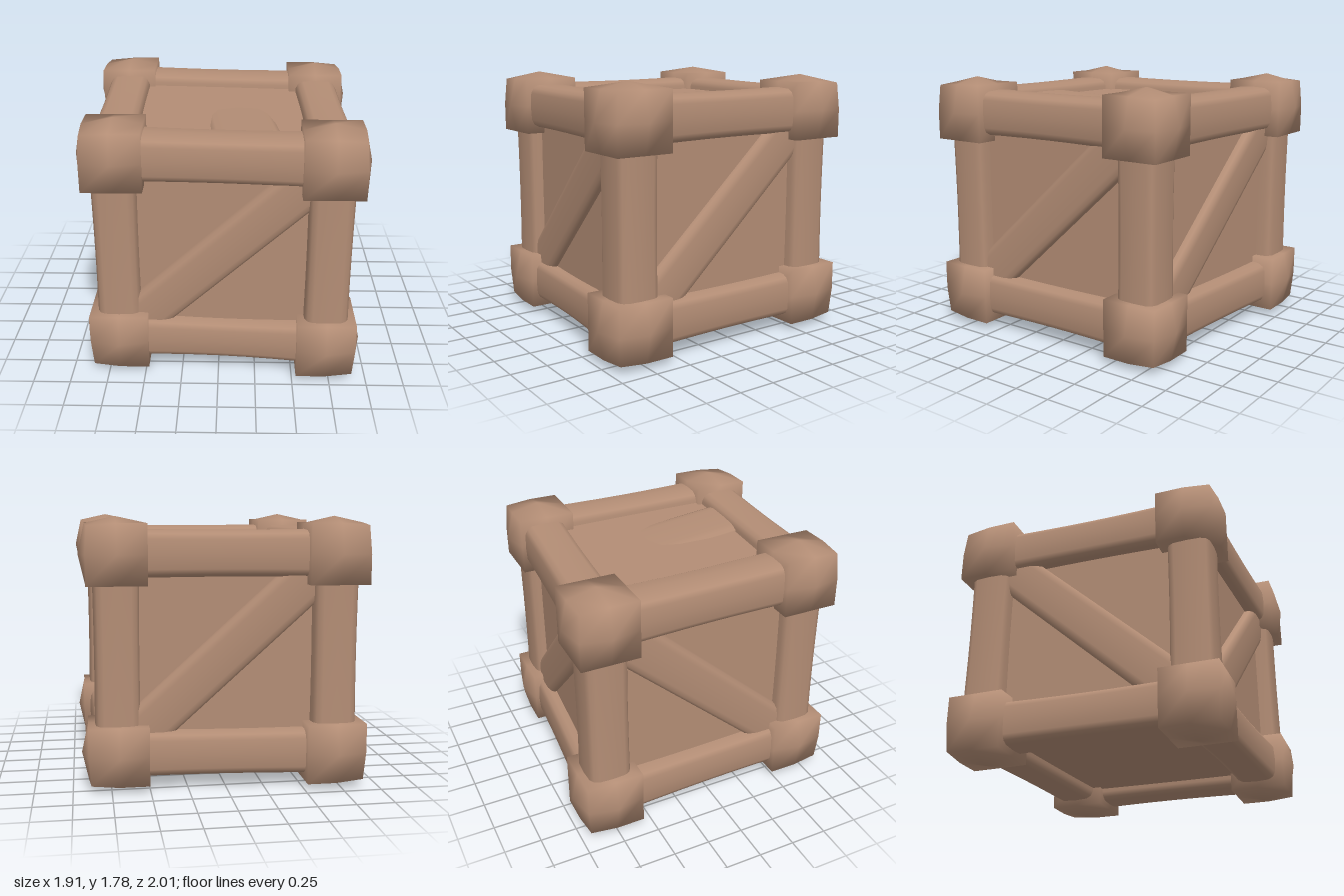
import * as THREE from 'three';
import { mergeVertices } from 'three/addons/utils/BufferGeometryUtils.js';

const wood = new THREE.MeshStandardMaterial({ color: 0xb38d75 });
wood.name = 'wood';
const V = (x, y, z) => new THREE.Vector3(x, y, z);

// Slightly skewed corner positions, looked up by the sign of x, y and z
function corner(sx, sy, sz) {
  const x = sx > 0 ? (sz > 0 ? 0.72 : 0.7) : (sz > 0 ? -0.67 : -0.71);
  const z = sz > 0 ? (sx > 0 ? 0.77 : 0.68) : (sx > 0 ? -0.65 : -0.76);
  return V(x, sy > 0 ? 1.54 : 0.24, z);
}

function add(group, name, geometry) {
  const mesh = new THREE.Mesh(geometry, wood);
  mesh.name = name;
  group.add(mesh);
  return mesh;
}

// Rounded beam from a to b; waist narrows the middle, sag moves it along "out"
function beam(a, b, out, halfW, halfT, waist = 0, sag = 0) {
  const rings = 8, sides = 16, pos = [], index = [];
  const dir = b.clone().sub(a).normalize();
  const o = out.clone().addScaledVector(dir, -out.dot(dir)).normalize();
  const side = o.clone().cross(dir);
  const soft = (n) => Math.sign(n) * Math.pow(Math.abs(n), 0.5);
  for (let i = 0; i <= rings; i++) {
    const t = i / rings, k = Math.sin(Math.PI * t);
    const s = 1 - waist * k;
    for (let j = 0; j < sides; j++) {
      const q = (j / sides) * Math.PI * 2;
      const p = a.clone().lerp(b, t)
        .addScaledVector(side, soft(Math.cos(q)) * halfW * s)
        .addScaledVector(o, soft(Math.sin(q)) * halfT * s + sag * k);
      pos.push(p.x, p.y, p.z);
      if (i < rings) {
        const n = i * sides + j, m = i * sides + (j + 1) % sides;
        index.push(n, m, n + sides, m, m + sides, n + sides);
      }
    }
  }
  const g = new THREE.BufferGeometry();
  g.setAttribute('position', new THREE.Float32BufferAttribute(pos, 3));
  g.setIndex(index);
  g.computeVertexNormals();
  return g;
}

// Corner block whose three outer faces swell to a blunt point
function cornerBlock(sx, sy, sz) {
  const h = 0.195;
  let g = new THREE.BoxGeometry(2 * h, 2 * h, 2 * h, 2, 2, 2);
  g.deleteAttribute('normal');
  g.deleteAttribute('uv');
  g = mergeVertices(g);
  const p = g.attributes.position;
  const signs = [sx, sy, sz];
  for (let i = 0; i < p.count; i++) {
    const c = [p.getX(i), p.getY(i), p.getZ(i)];
    const edges = c.filter((n) => Math.abs(n) > 0.1).length;
    const moved = c.map((n, k) => {
      if (edges === 1 && n * signs[k] > 0.1) return n + signs[k] * 0.043;
      if (edges === 3 && c.every((m, q) => m * signs[q] > 0)) return n * 0.93;
      return n;
    });
    p.setXYZ(i, ...moved);
  }
  g.computeVertexNormals();
  return g;
}

export function createModel() {
  const model = new THREE.Group();
  model.name = 'crate';
  const S = [-1, 1];

  // Recessed panels: one skewed box following the corners
  const body = new THREE.BoxGeometry(2, 2, 2);
  const p = body.attributes.position;
  for (let i = 0; i < p.count; i++) {
    const x = p.getX(i), y = p.getY(i), z = p.getZ(i);
    const c = corner(x, y, z).add(V(x * 0.05, y * 0.07, z * 0.05));
    p.setXYZ(i, c.x, c.y, c.z);
  }
  body.computeVertexNormals();
  add(model, 'panels', body);

  // Corner blocks
  for (const x of S) for (const y of S) for (const z of S)
    add(model, 'cornerBlock', cornerBlock(x, y, z)).position.copy(corner(x, y, z));

  // Twelve edge beams, slightly waisted
  for (const a of S) for (const b of S) {
    const pinch = a < 0 && b > 0 ? 0.11 : 0.05;
    add(model, 'crossBeam', beam(corner(-1, a, b), corner(1, a, b), V(0, a, 0), 0.158, 0.158, pinch));
    add(model, 'sideBeam', beam(corner(a, b, -1), corner(a, b, 1), V(a, 0, 0), 0.158, 0.158, 0.06));
    add(model, 'post', beam(corner(a, -1, b), corner(a, 1, b), V(a, 0, 0), 0.153, 0.153, 0.04));
  }

  // Diagonal braces, one on each upright face
  const braces = [
    ['frontBrace', [-1, -1, 1], [1, 1, 1], V(0, 0, 1)],
    ['rightBrace', [1, -1, 1], [1, 1, -1], V(1, 0, 0)],
    ['backBrace', [1, -1, -1], [-1, 1, -1], V(0, 0, -1)],
    ['leftBrace', [-1, -1, 1], [-1, 1, -1], V(-1, 0, 0)],
  ];
  for (const [name, from, to, out] of braces) {
    const a = corner(...from).addScaledVector(out, 0.03);
    const b = corner(...to).addScaledVector(out, 0.03);
    add(model, name, beam(a, b, out, 0.152, 0.08));
  }

  // Loose lid board rising towards the front
  add(model, 'lidBoard', beam(V(0.1, 1.55, -0.25), V(0.2, 1.6, 0.72), V(0, 1, 0), 0.23, 0.05));

  return model;
}
